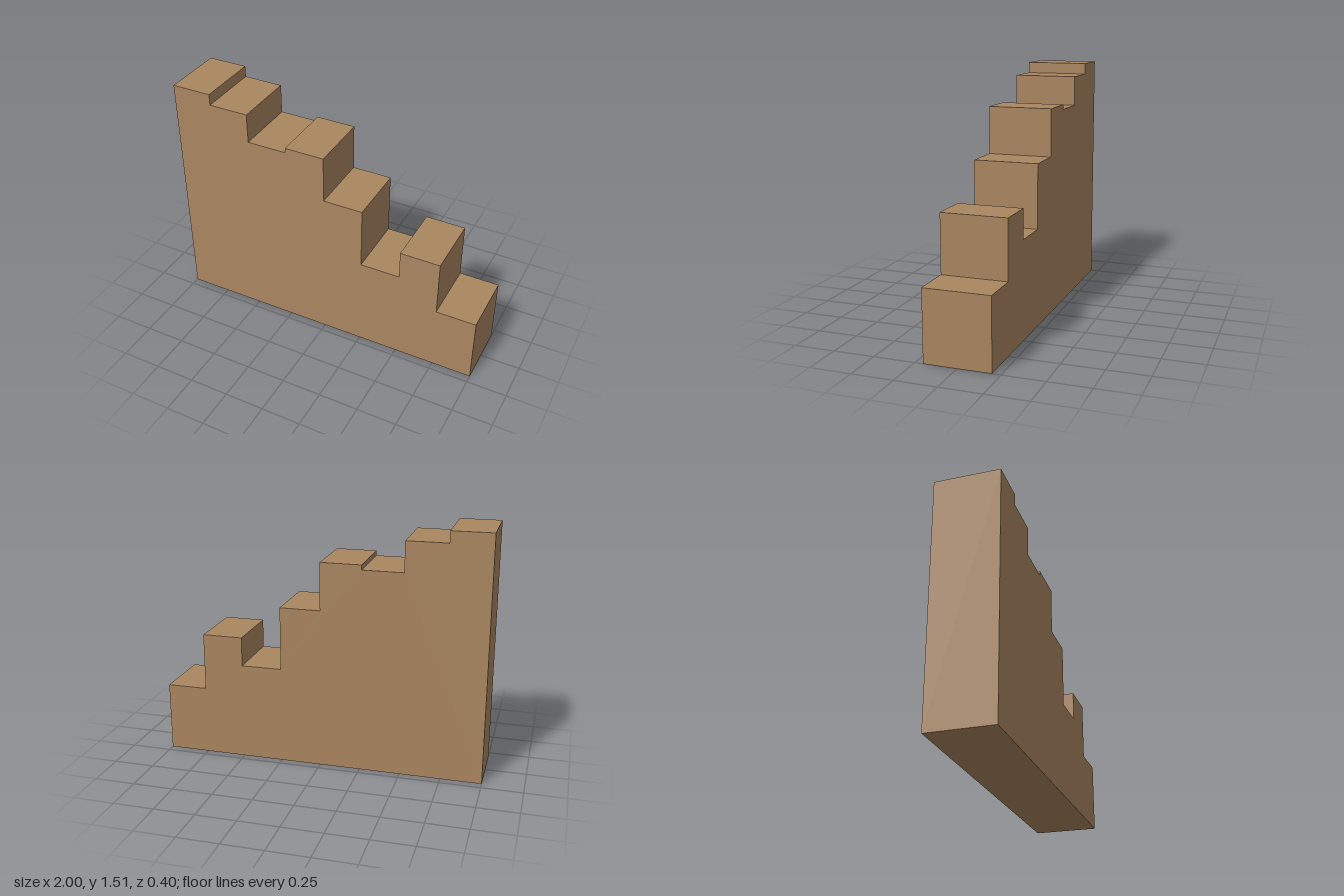
import * as THREE from 'three';

const DEPTH = 0.4;
const STEP_WIDTH = 0.25;
// Height of each step, from the tall end (-x) to the low end (+x)
const STEP_HEIGHTS = [1.515, 1.445, 1.26, 1.29, 0.997, 0.605, 0.786, 0.43];

export function createModel() {
  const model = new THREE.Group();
  model.name = 'steppedWall';

  const wood = new THREE.MeshStandardMaterial({ color: 0xaa8660 });
  wood.name = 'wood brown';

  // Stepped outline, drawn counter-clockwise: base edge, then back along the steps
  const outline = new THREE.Shape();
  outline.moveTo(-1, 0);
  outline.lineTo(1, 0);
  for (let i = STEP_HEIGHTS.length - 1; i >= 0; i--) {
    const left = -1 + i * STEP_WIDTH;
    outline.lineTo(left + STEP_WIDTH, STEP_HEIGHTS[i]);
    outline.lineTo(left, STEP_HEIGHTS[i]);
  }
  outline.closePath();

  // Solid block of uneven steps
  const geometry = new THREE.ExtrudeGeometry(outline, { depth: DEPTH, bevelEnabled: false });
  geometry.translate(0, 0, -DEPTH / 2);
  const steps = new THREE.Mesh(geometry, wood);
  steps.name = 'steps';
  model.add(steps);

  return model;
}
